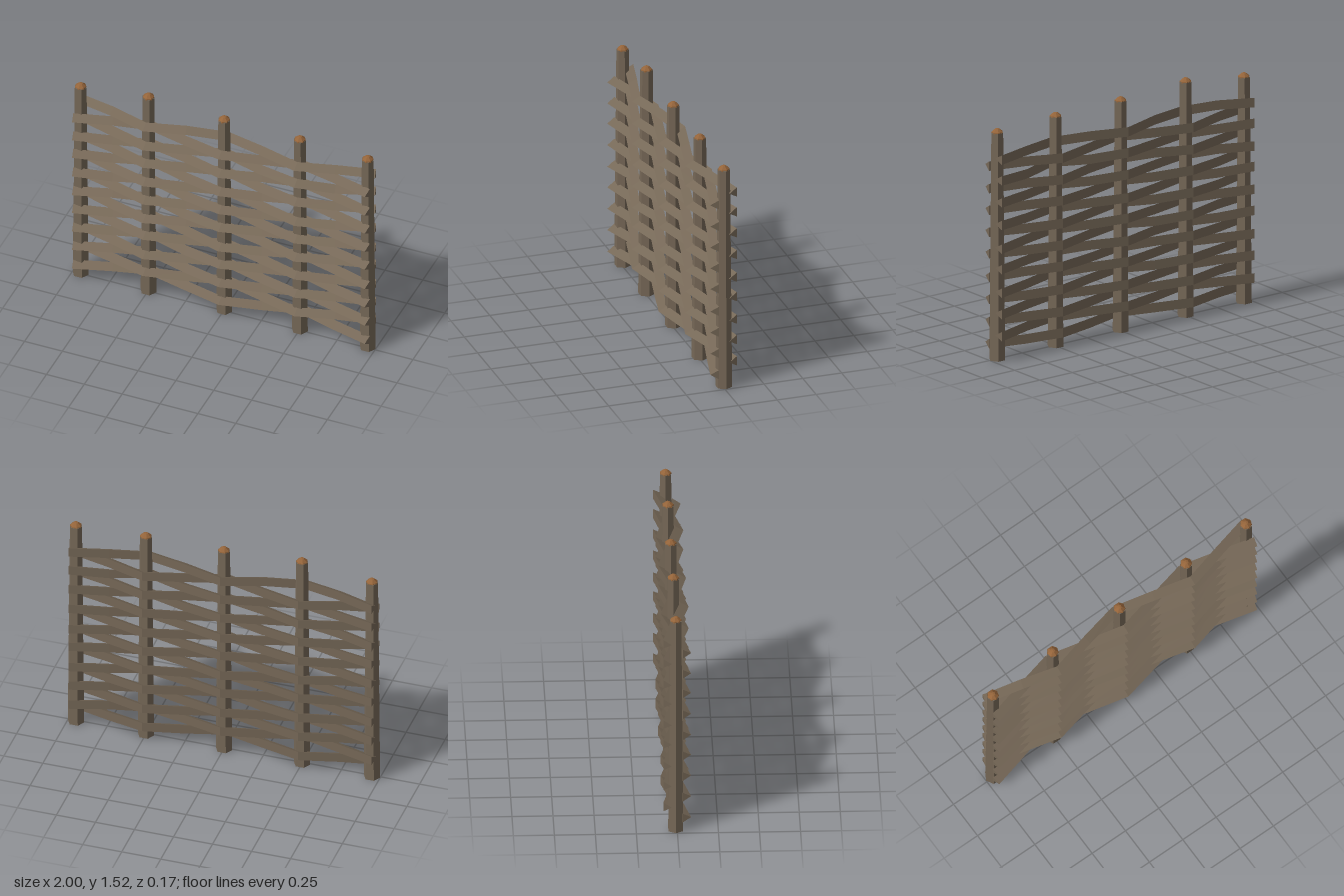
import * as THREE from 'three';

const woodMat = new THREE.MeshStandardMaterial({ color: 0x766857, flatShading: true });
woodMat.name = 'weathered wood';
const cutMat = new THREE.MeshStandardMaterial({ color: 0x94643a, flatShading: true });
cutMat.name = 'fresh cut wood';

const MID_Z = -0.009;   // the plane of the posts
const WEAVE = 0.059;    // how far a withy swings to each side
const ROD_R = 0.035;

// Small seeded generator for the slight waviness, -1 to 1
function seeded(seed) {
  let s = seed;
  return () => {
    s = (s * 16807) % 2147483647;
    return (s / 2147483647) * 2 - 1;
  };
}

// Three-sided rod swept along a list of points, with its ridge towards +z
function rodGeometry(path) {
  const up = new THREE.Vector3(0, 1, 0);
  const rings = path.map((p, i) => {
    const a = path[Math.max(i - 1, 0)];
    const b = path[Math.min(i + 1, path.length - 1)];
    const out = new THREE.Vector3(a.z - b.z, 0, b.x - a.x).normalize();
    return [0, 1, 2].map((k) => {
      const t = (k * Math.PI * 2) / 3;
      return p.clone()
        .addScaledVector(out, ROD_R * Math.cos(t))
        .addScaledVector(up, ROD_R * Math.sin(t));
    });
  });
  const pts = [...rings[0]];
  for (let i = 0; i < rings.length - 1; i++) {
    const A = rings[i], B = rings[i + 1];
    for (let k = 0; k < 3; k++) {
      const n = (k + 1) % 3;
      pts.push(A[k], B[n], A[n], A[k], B[k], B[n]);
    }
  }
  const end = rings[rings.length - 1];
  pts.push(end[0], end[2], end[1]);
  const g = new THREE.BufferGeometry().setFromPoints(pts);
  g.computeVertexNormals();
  return g;
}

// Upright stake with a faceted cut tip
function makePost(x, height) {
  const post = new THREE.Group();
  post.name = 'post';
  const shaft = new THREE.Mesh(new THREE.CylinderGeometry(0.039, 0.052, height, 6), woodMat);
  shaft.name = 'postShaft';
  shaft.rotation.y = Math.PI / 6;
  shaft.position.y = height / 2;

  const profile = [[0, -0.004], [0.037, -0.004], [0.035, 0.005], [0.014, 0.023], [0, 0.026]];
  const tip = new THREE.Mesh(
    new THREE.LatheGeometry(profile.map(([r, y]) => new THREE.Vector2(r, y)), 7), cutMat);
  tip.name = 'postTip';
  tip.position.y = height;

  post.add(shaft, tip);
  post.position.set(x, 0, MID_Z);
  return post;
}

export function createModel() {
  const fence = new THREE.Group();
  fence.name = 'wattleFence';

  // Posts
  const posts = [[-0.948, 1.44], [-0.5, 1.495], [0, 1.47], [0.5, 1.467], [0.948, 1.45]];
  posts.forEach(([x, h]) => fence.add(makePost(x, h)));

  // Withies, woven in front of and behind alternate posts
  const rnd = seeded(4711);
  const xs = [-0.975, -0.735, -0.5, -0.25, 0, 0.25, 0.5, 0.735, 0.975];
  for (let row = 0; row < 18; row++) {
    const y = 0.1 + row * 0.0703;
    const side = row % 2 === 0 ? 1 : -1;
    const path = xs.map((x, i) => new THREE.Vector3(
      x,
      y + rnd() * 0.008,
      MID_Z + side * WEAVE * Math.round(Math.cos((i * Math.PI) / 2))));
    const withy = new THREE.Mesh(rodGeometry(path), woodMat);
    withy.name = 'withy';
    fence.add(withy);
  }
  return fence;
}
